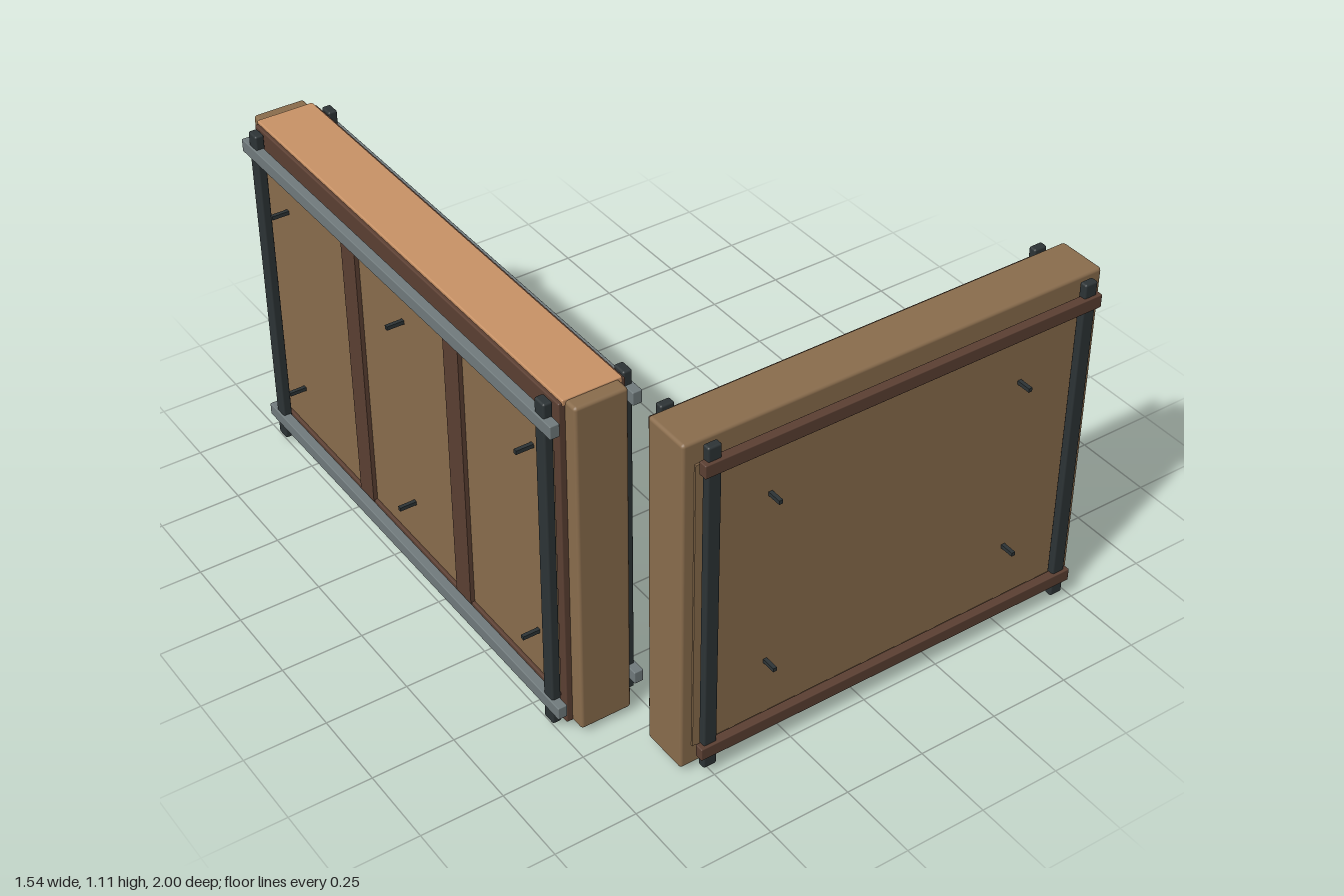
import * as THREE from 'three';
import { RoundedBoxGeometry } from 'three/addons/geometries/RoundedBoxGeometry.js';

const mat = (name, color) => Object.assign(new THREE.MeshStandardMaterial({ color }), { name });

export function createModel() {
  const tan = mat('tan wood', 0x8a6d4d);
  const brown = mat('dark brown wood', 0x5c4033);
  const iron = mat('dark iron', 0x2d3436);
  const steel = mat('grey steel', 0x717b7d);
  const copper = mat('light orange wood', 0xc99367);

  // Box from min/max ranges, with softened edges when r > 0
  function box(parent, name, material, [x0, x1], [y0, y1], [z0, z1], r = 0) {
    const s = [x1 - x0, y1 - y0, z1 - z0];
    const geo = r ? new RoundedBoxGeometry(...s, 2, r) : new THREE.BoxGeometry(...s);
    const m = new THREE.Mesh(geo, material);
    m.name = name;
    m.position.set((x0 + x1) / 2, (y0 + y1) / 2, (z0 + z1) / 2);
    parent.add(m);
  }

  // Depth range measured outward from the wall's middle, on either face
  const side = (c, s, a, b) => (s > 0 ? [c + a, c + b] : [c - b, c - a]);
  const around = (c, h) => [c - h, c + h];
  const railHeights = [[0.067, 0.107], [1.013, 1.054]];

  const model = new THREE.Group();
  model.name = 'cornerWalls';

  // Front wall, running along x
  const front = new THREE.Group();
  front.name = 'frontWall';
  model.add(front);
  const cz = 0.874;
  box(front, 'frontCore', tan, [-0.575, 0.768], [0.02, 1.1], around(cz, 0.075), 0.01);
  for (const s of [1, -1]) {
    box(front, 'frontPanel', tan, [-0.54, 0.732], [0.09, 1.03], side(cz, s, 0.07, 0.081));
    for (const x of [-0.505, 0.7])
      box(front, 'frontPost', iron, around(x, 0.021), [0.024, 1.096], side(cz, s, 0.088, 0.113), 0.006);
    for (const y of railHeights)
      box(front, 'frontRail', brown, [-0.54, 0.733], y, side(cz, s, 0.094, 0.122), 0.003);
    for (const x of [-0.31, 0.505]) for (const y of [0.275, 0.84])
      box(front, 'frontPeg', iron, around(x, 0.006), around(y, 0.006), side(cz, s, 0.08, 0.126));
  }

  // Side wall, running along z
  const wall = new THREE.Group();
  wall.name = 'sideWall';
  model.add(wall);
  const cx = -0.628;
  box(wall, 'sideCore', tan, around(cx, 0.08), [0.02, 1.1], [-1, 0.68], 0.01);
  box(wall, 'topCap', copper, around(cx, 0.089), [1.085, 1.105], [-0.96, 0.638], 0.004);
  box(wall, 'bottomSill', iron, around(cx, 0.08), [0, 0.03], [-0.93, 0.61], 0.004);
  for (const s of [1, -1]) {
    box(wall, 'sidePanel', tan, side(cx, s, 0.07, 0.09), [0.09, 1.03], [-0.94, 0.62]);
    // Brown frame around the panel
    for (const y of [[0.022, 0.1], [1.02, 1.096]])
      box(wall, 'frameBoard', brown, side(cx, s, 0.075, 0.099), y, [-0.955, 0.636], 0.004);
    for (const z of [[-0.955, -0.925], [0.606, 0.636]])
      box(wall, 'frameStile', brown, side(cx, s, 0.075, 0.099), [0.03, 1.09], z, 0.004);
    for (const z of [0.115, -0.43])
      box(wall, 'batten', brown, side(cx, s, 0.075, 0.103), [0.09, 1.03], around(z, 0.038));
    for (const z of [0.597, -0.912])
      box(wall, 'sidePost', iron, side(cx, s, 0.104, 0.132), [0.02, 1.097], around(z, 0.022), 0.006);
    for (const y of railHeights)
      box(wall, 'sideRail', steel, side(cx, s, 0.108, 0.137), y, [-0.972, 0.655], 0.003);
    for (const z of [0.493, -0.158, -0.81]) for (const y of [0.245, 0.875])
      box(wall, 'sidePeg', iron, side(cx, s, 0.085, 0.143), around(y, 0.006), around(z, 0.006));
  }
  return model;
}
